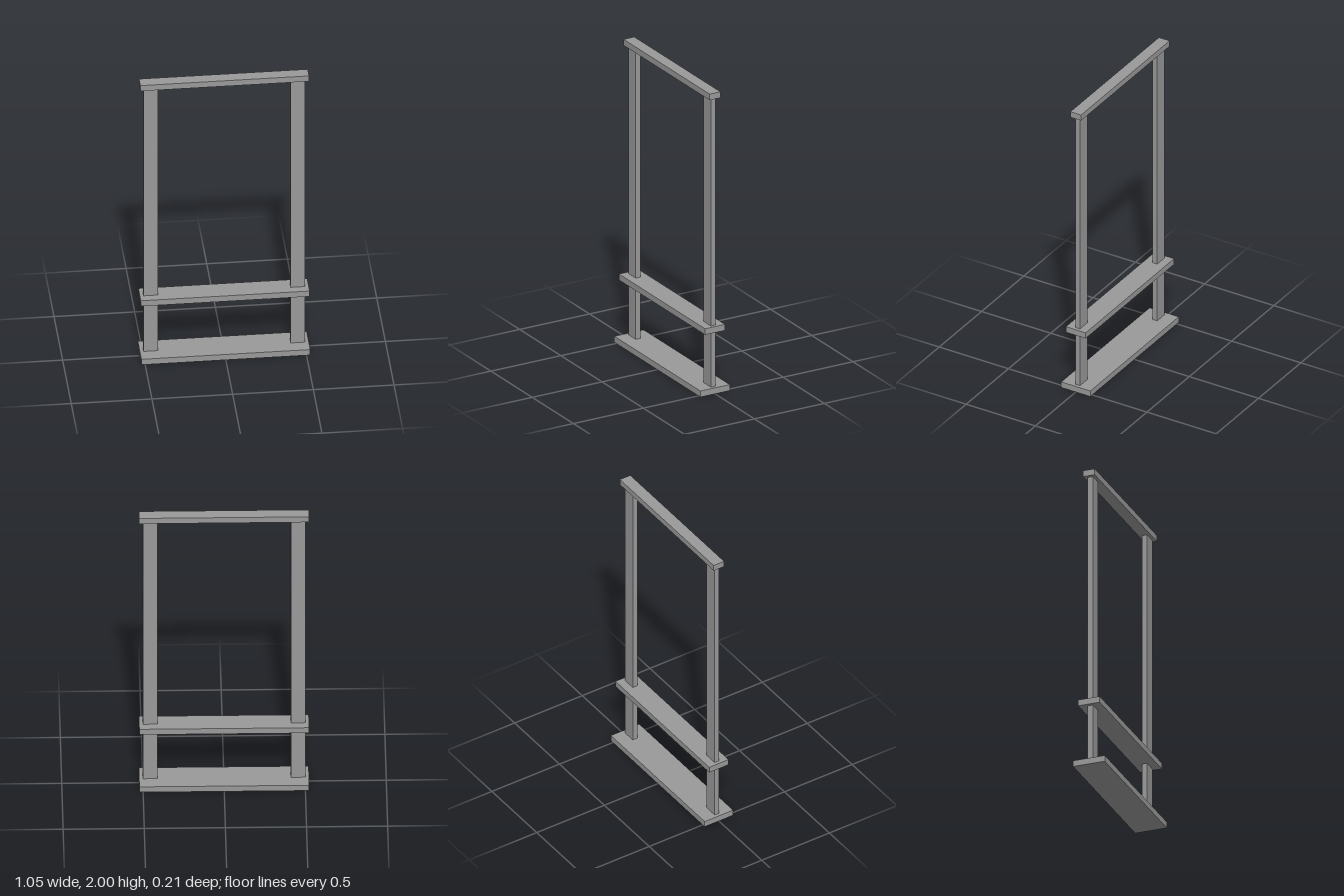
import * as THREE from 'three';

export function createModel() {
  const group = new THREE.Group();
  const material = new THREE.MeshStandardMaterial({ color: 0x999999, flatShading: true });

  const addBox = (name, width, height, depth, x, y) => {
    const mesh = new THREE.Mesh(new THREE.BoxGeometry(width, height, depth), material);
    mesh.name = name;
    mesh.position.set(x, y, 0);
    group.add(mesh);
  };

  const length = 1.046;
  const thickness = 0.04;
  const shelfY = 0.427;

  // Horizontal boards, narrower towards the top
  addBox('baseBoard', length, thickness, 0.21, 0, thickness / 2);
  addBox('middleShelf', length, thickness, 0.143, 0, shelfY);
  addBox('topRail', length, thickness, 0.077, 0, 2 - thickness / 2);

  // Upright posts: a lower and an upper section on each side
  const sections = [
    ['lowerPost', thickness, shelfY - thickness / 2],
    ['upperPost', shelfY + thickness / 2, 2 - thickness],
  ];
  for (const [side, sign] of [['Left', 1], ['Right', -1]]) {
    for (const [name, bottom, top] of sections) {
      addBox(name + side, 0.089, top - bottom, 0.034, sign * 0.456, (bottom + top) / 2);
    }
  }

  return group;
}
